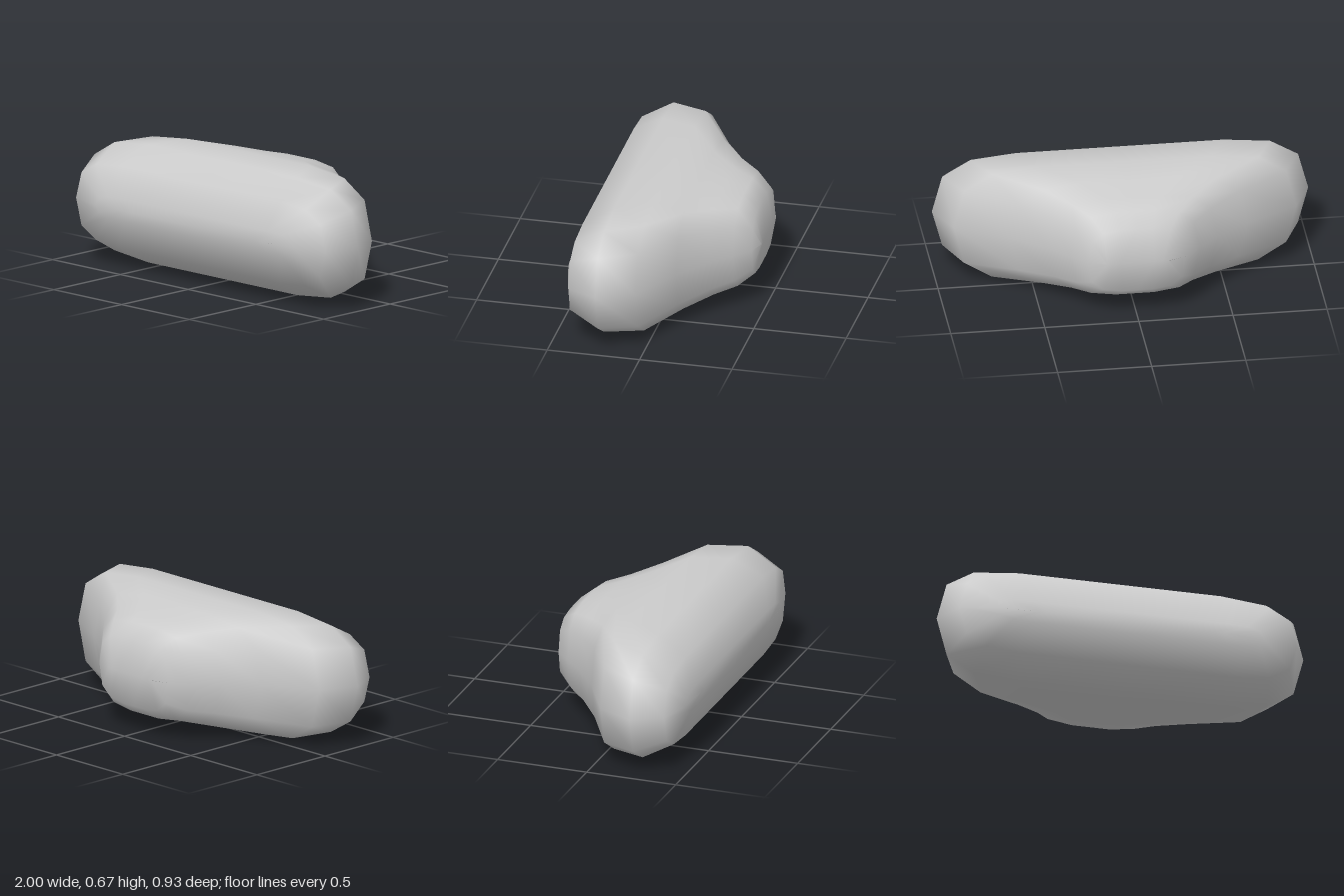
import * as THREE from 'three';
import { mergeVertices } from 'three/addons/utils/BufferGeometryUtils.js';

// Cross-sections from front to back: z, half width, half height, corner length
const SECTIONS = [
  [0.463, 0.55, 0, 0.1],
  [0.452, 0.73, 0.06, 0.2],
  [0.405, 0.92, 0.222, 0.33],
  [0.24, 1.0, 0.318, 0.45],
  [0.045, 0.91, 0.333, 0.45],
  [-0.11, 0.63, 0.303, 0.38],
  [-0.24, 0.455, 0.27, 0.3],
  [-0.35, 0.343, 0.245, 0.24],
  [-0.432, 0.26, 0.182, 0.18],
  [-0.463, 0.17, 0, 0.08],
];
// Rounded side: inset as a share of the corner length, height as a share of the half height
const CORNER = [[0, 0], [0.12, 0.64], [0.45, 0.92], [1, 1]];
const MID_Y = 0.333;

// One closed ring, anticlockwise seen from the front
function ring([z, w, h, r]) {
  const quarter = CORNER.map(([dx, dy]) => [w - dx * r, dy * h]);
  quarter.push([0, h]);
  const half = [...quarter, ...quarter.slice(0, -1).reverse().map(([x, y]) => [-x, y])];
  const lower = half.slice(1, -1).reverse().map(([x, y]) => [x, -y]);
  return [...half, ...lower].map(([x, y]) => [x, MID_Y + y, z]);
}

function loft(rings) {
  const n = rings[0].length;
  const index = [];
  for (let k = 0; k < rings.length - 1; k++) {
    for (let i = 0; i < n; i++) {
      const j = (i + 1) % n;
      const a = k * n + i, b = k * n + j;
      index.push(a, a + n, b, b, a + n, b + n);
    }
  }
  let geo = new THREE.BufferGeometry();
  geo.setAttribute('position', new THREE.Float32BufferAttribute(rings.flat(2), 3));
  geo.setIndex(index);
  // Weld the flattened end rings so the shading runs smoothly over them
  geo = mergeVertices(geo, 1e-4);
  geo.computeVertexNormals();
  return geo;
}

export function createModel() {
  const group = new THREE.Group();
  group.name = 'cushion';
  // Soft rounded body, wide at the front and narrowing to a blunt back
  const body = new THREE.Mesh(
    loft(SECTIONS.map(ring)),
    new THREE.MeshStandardMaterial({ color: 0xcccccc })
  );
  body.name = 'body';
  group.add(body);
  return group;
}
